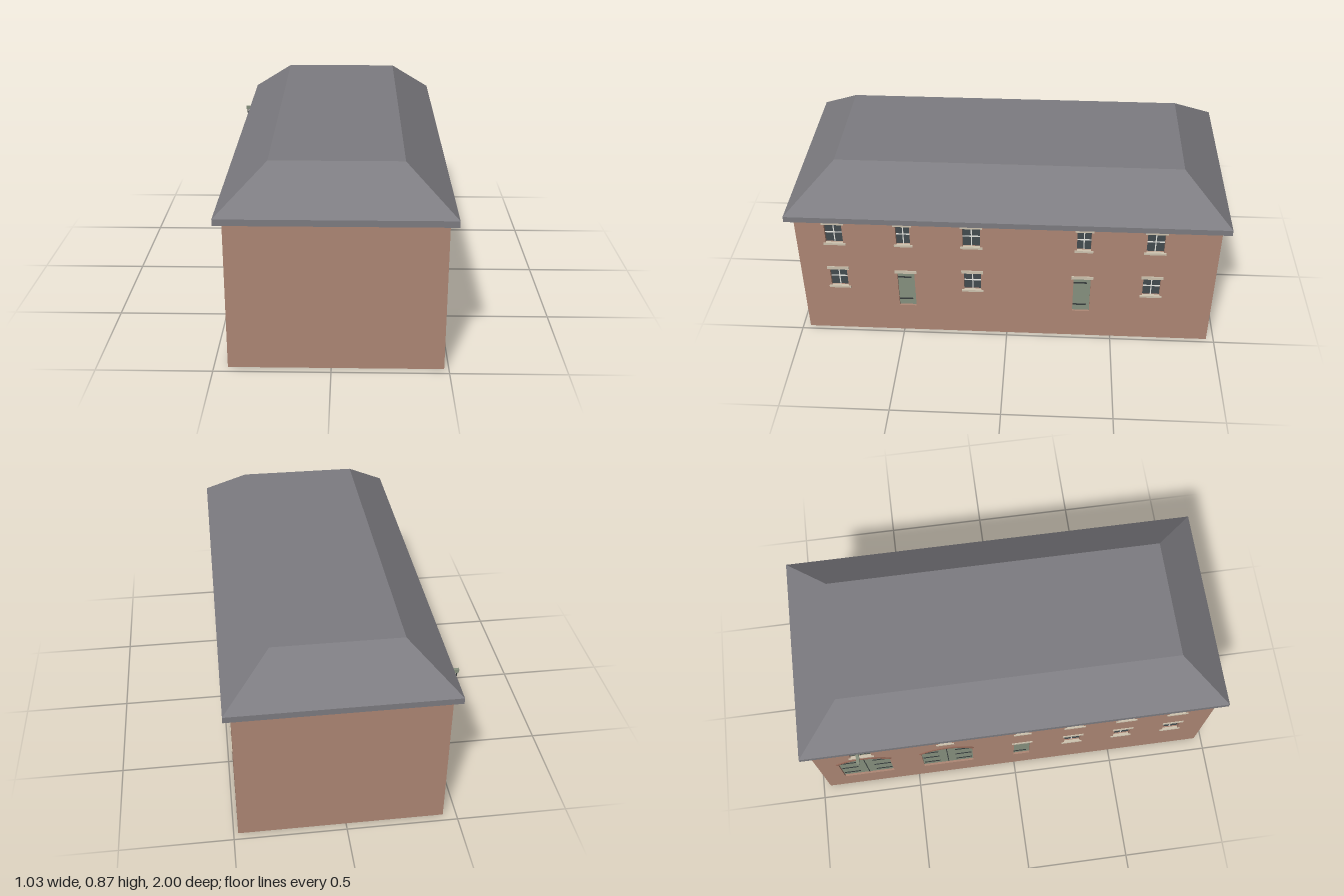
import * as THREE from 'three';

const mat = (name, color, side = THREE.FrontSide) => {
  const m = new THREE.MeshStandardMaterial({ color, side });
  m.name = name;
  return m;
};

export function createModel() {
  const brick = mat('brick', 0xae8775);
  const archBrick = mat('arch brick', 0x9a6c5b);
  const slate = mat('slate', 0x7d7c81, THREE.DoubleSide);
  const stone = mat('pale stone', 0xcfc4b0);
  const paint = mat('green paint', 0x87917f);
  const glass = mat('dark glass', 0x434c50);
  const white = mat('white bars', 0xe4e4de);
  const iron = mat('iron', 0x363c3c);

  const T = 0.03, X0 = -0.44, X1 = 0.48, Z = 0.965, H = 0.67;
  const cx = (X0 + X1) / 2;
  const model = new THREE.Group();
  model.name = 'brickBuilding';

  const add = (parent, name, geo, material) => {
    const m = new THREE.Mesh(geo, material);
    m.name = name;
    parent.add(m);
    return m;
  };
  const box = (parent, name, material, w, h, d, x, y, z) =>
    add(parent, name, new THREE.BoxGeometry(w, h, d), material).position.set(x, y, z);
  const rect = (x0, x1, y0, y1, C = THREE.Shape) => {
    const s = new C();
    s.moveTo(x0, y0).lineTo(x1, y0).lineTo(x1, y1).lineTo(x0, y1).closePath();
    return s;
  };
  const extrude = (shape, depth) =>
    new THREE.ExtrudeGeometry(shape, { depth, bevelEnabled: false, curveSegments: 10 });

  // Segmental arch: half width, spring and apex heights
  const arch = { w: 0.125, y0: 0.157, spring: 0.395, apex: 0.45, band: 0.014 };
  const rise = arch.apex - arch.spring;
  const R = (arch.w ** 2 + rise ** 2) / (2 * rise);
  const archY = arch.apex - R;
  const half = Math.asin(arch.w / R);
  const archShape = (u, C = THREE.Shape) => {
    const s = new C();
    s.moveTo(u - arch.w, arch.y0).lineTo(u + arch.w, arch.y0).lineTo(u + arch.w, arch.spring);
    s.absarc(u, archY, R, Math.PI / 2 - half, Math.PI / 2 + half, false);
    s.closePath();
    return s;
  };

  // Openings; local x runs along the wall and the outer face is at local z = 0
  const lintelAndSill = (g, u, w, y0, y1, sill) => {
    box(g, 'lintel', stone, w + 0.022, 0.016, 0.012, u, y1 + 0.007, -0.002);
    if (sill) box(g, 'sill', stone, w + 0.022, 0.011, 0.014, u, y0 - 0.004, -0.002);
  };
  const strap = (g, u, y, len) => box(g, 'strapHinge', iron, len, 0.007, 0.004, u, y, -0.009);

  function windowUnit(wall, u, w, y0, y1) {
    const g = new THREE.Group();
    g.name = 'window';
    const h = y1 - y0, y = (y0 + y1) / 2;
    box(g, 'pane', glass, w, h, 0.006, u, y, -0.018);
    box(g, 'mullion', white, 0.005, h, 0.01, u, y, -0.017);
    box(g, 'transom', white, w, 0.005, 0.01, u, y, -0.017);
    lintelAndSill(g, u, w, y0, y1, true);
    wall.add(g);
    return rect(u - w / 2, u + w / 2, y0, y1, THREE.Path);
  }

  function doorUnit(wall, u) {
    const g = new THREE.Group();
    g.name = 'door';
    const w = 0.08, y0 = 0.157, y1 = 0.36;
    box(g, 'doorLeaf', paint, w, y1 - y0, 0.008, u, (y0 + y1) / 2, -0.014);
    for (const y of [0.193, 0.328]) strap(g, u - 0.008, y, 0.064);
    lintelAndSill(g, u, w, y0, y1, false);
    wall.add(g);
    return rect(u - w / 2, u + w / 2, y0, y1, THREE.Path);
  }

  function archedDoor(wall, u) {
    const g = new THREE.Group();
    g.name = 'archedDoor';
    add(g, 'doorLeaves', extrude(archShape(u), 0.008), paint).position.z = -0.018;
    box(g, 'leafGap', iron, 0.004, arch.apex - arch.y0, 0.003, u, (arch.apex + arch.y0) / 2, -0.01);
    for (const s of [-1, 1])
      for (const y of [0.2, 0.285, 0.37]) strap(g, u + s * 0.08, y, 0.08);
    // Raised brick band over the arch
    const band = new THREE.Shape();
    band.absarc(u, archY, R + arch.band, Math.PI / 2 - half, Math.PI / 2 + half, false);
    band.absarc(u, archY, R, Math.PI / 2 + half, Math.PI / 2 - half, true);
    add(g, 'archBand', extrude(band, 0.007), archBrick).position.z = -0.003;
    wall.add(g);
    return archShape(u, THREE.Path);
  }

  function loftDoor(wall, u) {
    const g = new THREE.Group();
    g.name = 'loftDoor';
    const w = 0.1, y0 = 0.49, y1 = 0.61, y = (y0 + y1) / 2;
    box(g, 'loftLeaves', paint, w, y1 - y0, 0.008, u, y, -0.014);
    box(g, 'leafGap', iron, 0.004, y1 - y0, 0.003, u, y, -0.01);
    for (const s of [-1, 1])
      for (const yy of [0.515, 0.585]) strap(g, u + s * 0.033, yy, 0.032);
    lintelAndSill(g, u, w, y0, y1, true);
    // Hoist beam with hook
    box(g, 'hoistBeam', paint, 0.014, 0.016, 0.09, u, 0.64, 0.031);
    box(g, 'hoistHook', iron, 0.004, 0.024, 0.004, u, 0.622, 0.068);
    wall.add(g);
    return rect(u - w / 2, u + w / 2, y0, y1, THREE.Path);
  }

  function longWall(name, x, turn, build) {
    const wall = new THREE.Group();
    wall.name = name;
    const shape = rect(-Z, Z, 0, H);
    shape.holes.push(...build(wall));
    add(wall, 'brickwork', extrude(shape, T), brick).position.z = -T;
    wall.position.x = x;
    wall.rotation.y = turn * Math.PI / 2;
    model.add(wall);
  }
  const upper = (wall, u, w) => windowUnit(wall, u, w, 0.53, 0.638);
  const lower = (wall, u, w) => windowUnit(wall, u, w, 0.27, 0.373);
  const wide = 0.08, slim = 0.064;

  // Left wall (+x): local x is -z
  longWall('leftWall', X1, 1, (wall) => [
    ...[-0.79, -0.16, 0.675].flatMap((u) => [upper(wall, u, wide), lower(wall, u, wide)]),
    ...[-0.473, 0.352].flatMap((u) => [upper(wall, u, slim), doorUnit(wall, u)]),
  ]);
  // Right wall (-x): local x is +z
  longWall('rightWall', X0, -1, (wall) => [
    ...[0.29, 0.54, 0.79].flatMap((u) => [upper(wall, u, wide), lower(wall, u, wide)]),
    upper(wall, 0.037, slim), doorUnit(wall, 0.037),
    upper(wall, -0.335, slim), archedDoor(wall, -0.335),
    archedDoor(wall, -0.74), loftDoor(wall, -0.74),
  ]);
  // Plain end walls
  for (const s of [-1, 1])
    box(model, s > 0 ? 'frontWall' : 'backWall', brick, X1 - X0 - 2 * T, H, T, cx, H / 2, s * (Z - T / 2));

  // Eaves: a flat ring resting on the walls
  const E0 = -0.474, E1 = 0.514;
  const ring = rect(E0, E1, -1, 1);
  ring.holes.push(rect(X0 + T, X1 - T, -Z + T, Z - T, THREE.Path));
  const eaves = add(model, 'eaves', extrude(ring, 0.028), slate);
  eaves.rotation.x = -Math.PI / 2;
  eaves.position.y = H;

  // Hipped roof with a flat top, hollow beneath
  const yE = 0.698, yT = 0.873;
  const low = [[E0, yE, 1], [E1, yE, 1], [E1, yE, -1], [E0, yE, -1]];
  const top = [[-0.264, yT, 0.79], [0.304, yT, 0.79], [0.304, yT, -0.79], [-0.264, yT, -0.79]];
  const pos = [];
  const quad = (a, b, c, d) => pos.push(...a, ...b, ...c, ...a, ...c, ...d);
  for (let i = 0; i < 4; i++) {
    const j = (i + 1) % 4;
    quad(low[i], low[j], top[j], top[i]);
  }
  quad(...top);
  const roof = new THREE.BufferGeometry();
  roof.setAttribute('position', new THREE.Float32BufferAttribute(pos, 3));
  roof.computeVertexNormals();
  add(model, 'roof', roof, slate);

  return model;
}
